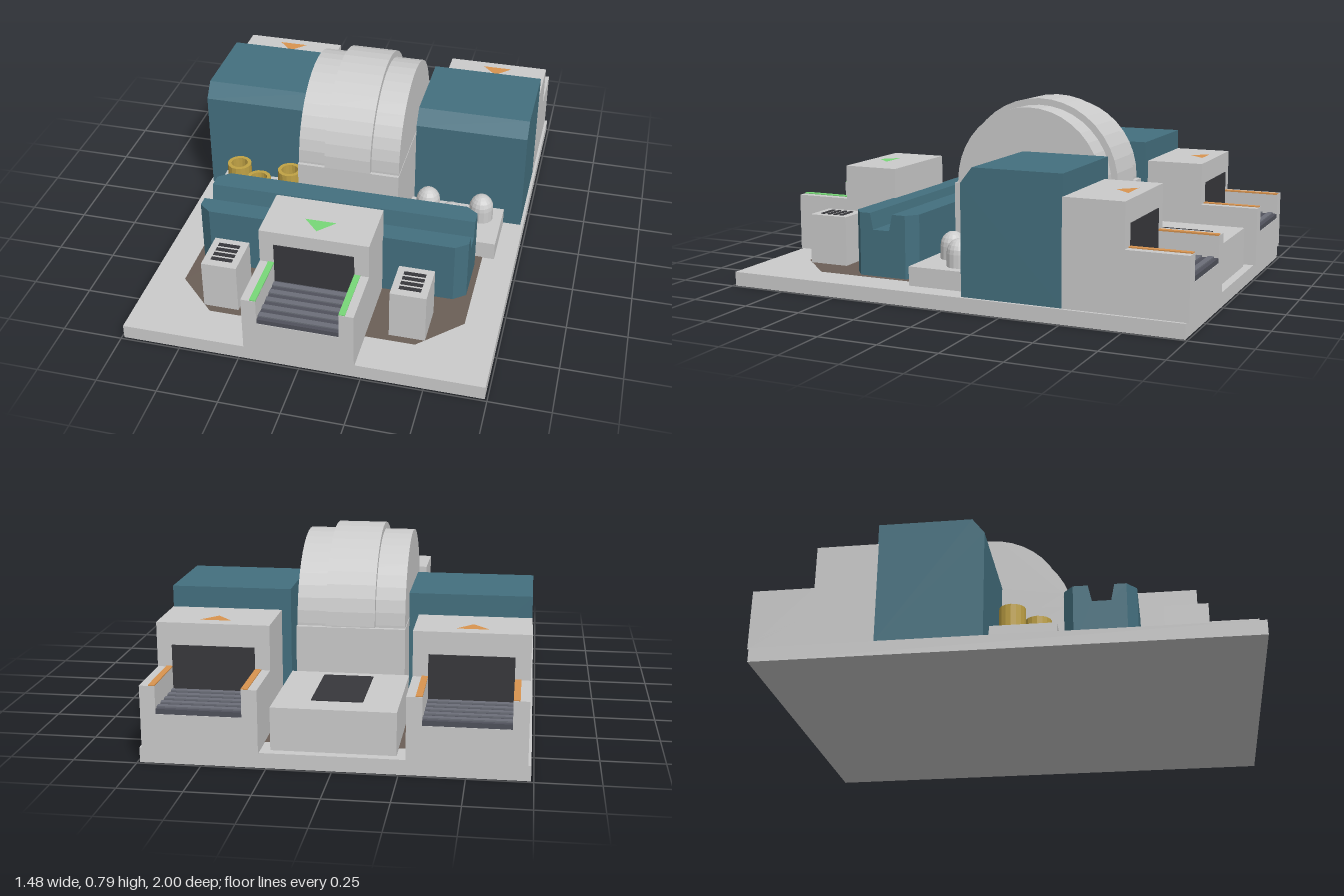
import * as THREE from 'three';

const mat = (color) => new THREE.MeshStandardMaterial({ color, side: THREE.DoubleSide });
const flat = (color) => new THREE.MeshStandardMaterial({ color, side: THREE.DoubleSide, flatShading: true });
const GREY = mat(0xcccccc), GREY_FLAT = flat(0xcccccc), BLUE = mat(0x44707f), BROWN = mat(0x6b5f57);
const DARK = mat(0x38383c), BELT = mat(0x50525c), SLAT = mat(0x6c6f79);
const GOLD = flat(0xc0a245), ORANGE = mat(0xd9944f), GREEN = mat(0x78d878);
const FLOOR = 0.06;

function add(parent, name, geometry, material) {
  const mesh = new THREE.Mesh(geometry, material);
  mesh.name = name;
  parent.add(mesh);
  return mesh;
}

// Box given by its limits on each axis
function box(parent, name, material, [x0, x1], [y0, y1], [z0, z1]) {
  const mesh = add(parent, name, new THREE.BoxGeometry(x1 - x0, y1 - y0, z1 - z0), material);
  mesh.position.set((x0 + x1) / 2, (y0 + y1) / 2, (z0 + z1) / 2);
  return mesh;
}

const shapeOf = (points) => new THREE.Shape(points.map(([a, b]) => new THREE.Vector2(a, b)));

// Side profile of [z, y] points, extruded along x from x0 to x1
function profileAlongX(points, x0, x1, steps = 1) {
  const geometry = new THREE.ExtrudeGeometry(shapeOf(points.map(([z, y]) => [-z, y])),
    { depth: x1 - x0, bevelEnabled: false, steps });
  return geometry.rotateY(Math.PI / 2).translate(x0, 0, 0);
}

// Flat plan of [x, z] points lying at height y
function plan(points, y) {
  return new THREE.ShapeGeometry(shapeOf(points.map(([x, z]) => [x, -z])))
    .rotateX(-Math.PI / 2).translate(0, y, 0);
}

// Conveyor port opening toward +z, with its back at z = 0 and mouth at z = 0.5
function conveyorPort(name, height, accent, arrowSign) {
  const g = new THREE.Group();
  g.name = name;
  box(g, 'portHousing', GREY, [-0.225, 0.225], [FLOOR, height], [0, 0.25]);
  box(g, 'portBed', GREY, [-0.225, 0.225], [FLOOR, 0.2], [0.25, 0.5]);
  box(g, 'portOpening', DARK, [-0.165, 0.165], [0.2, 0.4], [0.24, 0.254]);
  box(g, 'belt', BELT, [-0.165, 0.165], [0.2, 0.22], [0.25, 0.498]);
  for (let i = 0; i < 5; i++) {
    const z = 0.265 + i * 0.048;
    box(g, 'beltSlat', SLAT, [-0.165, 0.165], [0.215, 0.226], [z, z + 0.024]);
  }
  for (const s of [-1, 1]) {
    const wall = box(g, 'portSideWall', GREY, [-0.03, 0.03], [FLOOR, 0.31], [0.25, 0.5]);
    wall.position.x = s * 0.195;
    const strip = box(g, 'accentStrip', accent, [-0.0125, 0.0125], [0.308, 0.314], [0.252, 0.498]);
    strip.position.x = s * 0.1775;
  }
  const a = arrowSign * 0.035;
  add(g, 'directionArrow', plan([[-0.065, 0.17 - a], [0.065, 0.17 - a], [0, 0.17 + a]], height + 0.003), accent);
  return g;
}

export function createModel() {
  const model = new THREE.Group();
  model.name = 'factoryMachine';

  // Base plate and floor mat
  box(model, 'basePlate', GREY, [-0.74, 0.74], [0, FLOOR], [-0.99, 0.99]);
  const half = [[0.28, -0.88], [0.28, 0.2], [0.6, 0.2], [0.6, 0.65], [0.43, 0.82]];
  const mirrored = half.map(([x, z]) => [-x, z]).reverse();
  add(model, 'floorMat', plan([...half, ...mirrored], FLOOR + 0.003), BROWN);

  // Conveyor ports: one at the front, two at the back
  const front = conveyorPort('frontPort', 0.46, GREEN, 1);
  front.position.z = 0.5;
  model.add(front);
  for (const s of [-1, 1]) {
    const rear = conveyorPort(s > 0 ? 'rearLeftPort' : 'rearRightPort', 0.49, ORANGE, -1);
    rear.rotation.y = Math.PI;
    rear.position.set(s * 0.503, 0, -0.5);
    model.add(rear);
  }

  // Low rear block with a dark hatch
  box(model, 'rearBlock', GREY, [-0.24, 0.24], [FLOOR, 0.23], [-0.955, -0.49]);
  box(model, 'rearHatch', DARK, [-0.1, 0.1], [0.22, 0.234], [-0.855, -0.535]);

  // Central drum on its pedestal, with a raised middle band
  const arch = (radius, bottom) => {
    const points = [[-0.14 + radius, bottom]];
    for (let i = 0; i <= 20; i++) {
      const t = (i / 20) * Math.PI;
      points.push([-0.14 + radius * Math.cos(t), 0.43 + radius * Math.sin(t)]);
    }
    points.push([-0.14 - radius, bottom]);
    return points;
  };
  add(model, 'drum', profileAlongX(arch(0.33, FLOOR), -0.22, 0.22), GREY);
  add(model, 'drumBand', profileAlongX(arch(0.358, 0.425), -0.1, 0.1), GREY);
  box(model, 'drumPedestal', GREY, [-0.222, 0.222], [FLOOR, 0.42], [-0.49, 0.205]);

  // Large side housings with a chamfered front edge
  const housing = [[-0.075, FLOOR], [-0.075, 0.513], [-0.125, 0.577], [-0.503, 0.577], [-0.503, FLOOR]];
  add(model, 'leftHousing', profileAlongX(housing, 0.24, 0.727), BLUE);
  add(model, 'rightHousing', profileAlongX(housing, -0.727, -0.24), BLUE);

  // Grooved cross wall; its ends are narrowed to chamfer the corners
  const wall = profileAlongX([[0.51, FLOOR], [0.51, 0.33], [0.422, 0.33], [0.408, 0.26], [0.332, 0.26],
    [0.317, 0.33], [0.217, 0.33], [0.217, FLOOR]], -0.575, 0.575, 23);
  const pos = wall.attributes.position;
  for (let i = 0; i < pos.count; i++) {
    if (Math.abs(pos.getX(i)) > 0.56) pos.setZ(i, THREE.MathUtils.clamp(pos.getZ(i), 0.257, 0.47));
  }
  wall.computeVertexNormals();
  add(model, 'crossWall', wall, BLUE);

  // Vent posts and side pads
  for (const s of [-1, 1]) {
    const post = new THREE.Group();
    post.name = s > 0 ? 'leftVentPost' : 'rightVentPost';
    post.position.x = s * 0.39;
    box(post, 'post', GREY, [-0.074, 0.074], [FLOOR, 0.277], [0.61, 0.788]);
    for (let i = 0; i < 4; i++) {
      const z = 0.642 + i * 0.031;
      box(post, 'ventSlot', DARK, [-0.045, 0.045], [0.27, 0.28], [z, z + 0.018]);
    }
    model.add(post);
    const pad = box(model, s > 0 ? 'leftPad' : 'rightPad', GREY, [-0.208, 0.208], [FLOOR, 0.14], [-0.065, 0.2]);
    pad.position.x = s * 0.442;
  }

  // Domed studs on the left pad, open cups on the right pad
  const v = (x, y) => new THREE.Vector2(x, y);
  const dome = [v(0.053, 0.14), v(0.053, 0.195)];
  for (let i = 1; i <= 5; i++) {
    const t = (i / 5) * Math.PI / 2;
    dome.push(v(0.053 * Math.cos(t), 0.195 + 0.06 * Math.sin(t)));
  }
  const cup = [v(0.054, 0.14), v(0.054, 0.25), v(0.037, 0.25), v(0.037, 0.17), v(0, 0.17)];
  for (const [x, z] of [[0.32, 0.015], [0.558, 0.015], [0.438, 0.105]]) {
    add(model, 'domedStud', new THREE.LatheGeometry(dome, 16), GREY_FLAT).position.set(x, 0, z);
    add(model, 'openCup', new THREE.LatheGeometry(cup, 16), GOLD).position.set(-x, 0, z);
  }
  return model;
}
